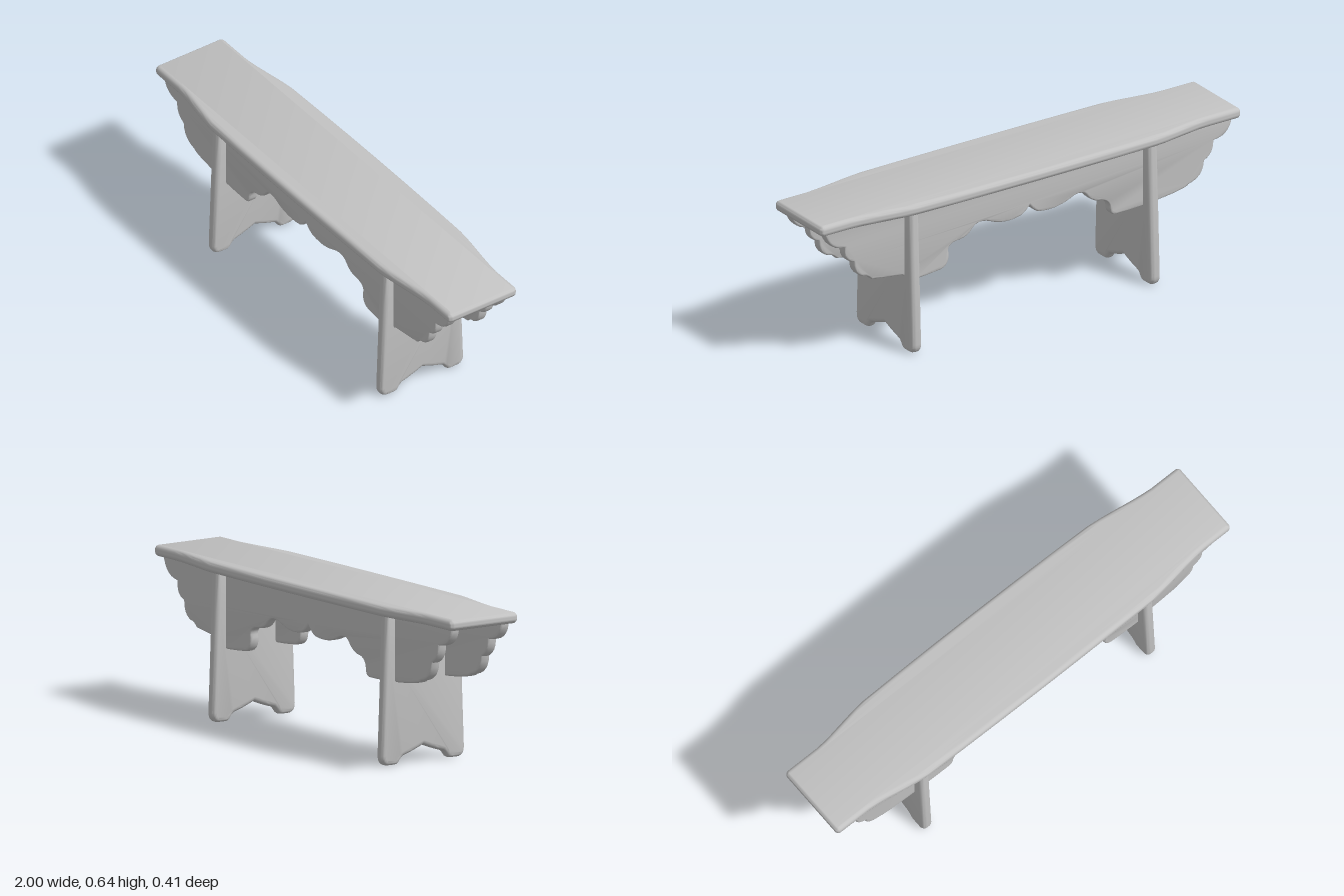
import * as THREE from 'three';
import { toCreasedNormals } from 'three/addons/utils/BufferGeometryUtils.js';

// Board of a given overall thickness with rounded edges, centred on its thickness
function board(shape, thickness, round) {
  const geo = new THREE.ExtrudeGeometry(shape, {
    depth: thickness - 2 * round, bevelEnabled: true, bevelThickness: round,
    bevelSize: round, bevelOffset: -round, bevelSegments: 4, curveSegments: 6,
  });
  geo.translate(0, 0, -(thickness - 2 * round) / 2);
  return geo;
}

// Seat outline: wide in the middle, narrowing to straight ends
function seatShape() {
  const s = new THREE.Shape();
  s.moveTo(-1, -0.145);
  s.quadraticCurveTo(-1, -0.163, -0.98, -0.163);
  s.lineTo(-0.84, -0.163);
  s.bezierCurveTo(-0.76, -0.166, -0.67, -0.192, -0.57, -0.2);
  s.quadraticCurveTo(0, -0.209, 0.57, -0.2);
  s.bezierCurveTo(0.67, -0.192, 0.76, -0.17, 0.86, -0.163);
  s.lineTo(0.98, -0.163);
  s.quadraticCurveTo(1, -0.163, 1, -0.145);
  s.lineTo(1, 0.145);
  s.quadraticCurveTo(1, 0.163, 0.98, 0.163);
  s.lineTo(0.86, 0.163);
  s.bezierCurveTo(0.76, 0.17, 0.67, 0.192, 0.57, 0.2);
  s.quadraticCurveTo(0, 0.213, -0.57, 0.2);
  s.bezierCurveTo(-0.67, 0.192, -0.76, 0.166, -0.84, 0.163);
  s.lineTo(-0.98, 0.163);
  s.quadraticCurveTo(-1, 0.163, -1, 0.145);
  return s;
}

// Leg outline: tapered sides, rounded feet and a pointed arch between them
function legShape() {
  const s = new THREE.Shape();
  s.moveTo(-0.178, 0.61);
  s.lineTo(-0.185, 0.45);
  s.lineTo(-0.2, 0.04);
  s.quadraticCurveTo(-0.2, 0, -0.165, 0);
  s.lineTo(-0.135, 0);
  s.bezierCurveTo(-0.11, 0, -0.115, 0.022, -0.095, 0.032);
  s.quadraticCurveTo(-0.045, 0.046, 0, 0.066);
  s.quadraticCurveTo(0.045, 0.046, 0.095, 0.032);
  s.bezierCurveTo(0.115, 0.022, 0.11, 0, 0.135, 0);
  s.lineTo(0.165, 0);
  s.quadraticCurveTo(0.2, 0, 0.2, 0.04);
  s.lineTo(0.185, 0.45);
  s.lineTo(0.178, 0.61);
  return s;
}

// Apron outline: each entry is control x, y then end x, y of one scallop
function apronShape() {
  const scallops = [
    [-0.955, 0.525, -0.885, 0.52], [-0.885, 0.465, -0.84, 0.445],
    [-0.835, 0.375, -0.765, 0.362], [-0.755, 0.345, -0.6, 0.331],
    [-0.5, 0.323, -0.42, 0.323], [-0.39, 0.323, -0.39, 0.36],
    [-0.385, 0.4, -0.33, 0.403], [-0.295, 0.415, -0.275, 0.445],
    [-0.25, 0.472, -0.2, 0.445], [-0.13, 0.415, -0.05, 0.43],
    [-0.025, 0.442, -0.008, 0.467], [0.01, 0.444, 0.035, 0.433],
    [0.11, 0.415, 0.175, 0.445], [0.235, 0.472, 0.265, 0.438],
    [0.29, 0.405, 0.335, 0.405], [0.39, 0.4, 0.375, 0.36],
    [0.375, 0.3, 0.43, 0.299], [0.49, 0.292, 0.55, 0.29],
    [0.575, 0.31, 0.6, 0.325], [0.68, 0.334, 0.745, 0.345],
    [0.76, 0.365, 0.785, 0.367], [0.83, 0.385, 0.83, 0.44],
    [0.88, 0.455, 0.875, 0.512], [0.945, 0.518, 0.965, 0.585],
  ];
  const s = new THREE.Shape();
  s.moveTo(-0.97, 0.61);
  s.lineTo(-0.97, 0.585);
  for (const c of scallops) s.quadraticCurveTo(...c);
  s.lineTo(0.965, 0.61);
  return s;
}

export function createModel() {
  const group = new THREE.Group();
  group.name = 'bench';
  const grey = new THREE.MeshStandardMaterial({ color: 0xc2c2c2 });
  grey.name = 'plain grey';

  const add = (name, geo, x, y, z) => {
    const mesh = new THREE.Mesh(geo, grey);
    mesh.name = name;
    mesh.position.set(x, y, z);
    group.add(mesh);
  };

  // Seat plank
  const seat = board(seatShape(), 0.046, 0.019).rotateX(-Math.PI / 2);
  add('seat', toCreasedNormals(seat, 0.7), 0, 0.617, 0);

  // Two board legs
  const leg = toCreasedNormals(board(legShape(), 0.047, 0.018).rotateY(Math.PI / 2), 0.7);
  add('leftLeg', leg, 0.567, 0, 0);
  add('rightLeg', leg, -0.569, 0, 0);

  // Two scalloped aprons running the length of the bench
  const apron = toCreasedNormals(board(apronShape(), 0.042, 0.01), 0.7);
  add('frontApron', apron, 0, 0, 0.12);
  add('backApron', apron, 0, 0, -0.12);

  return group;
}
